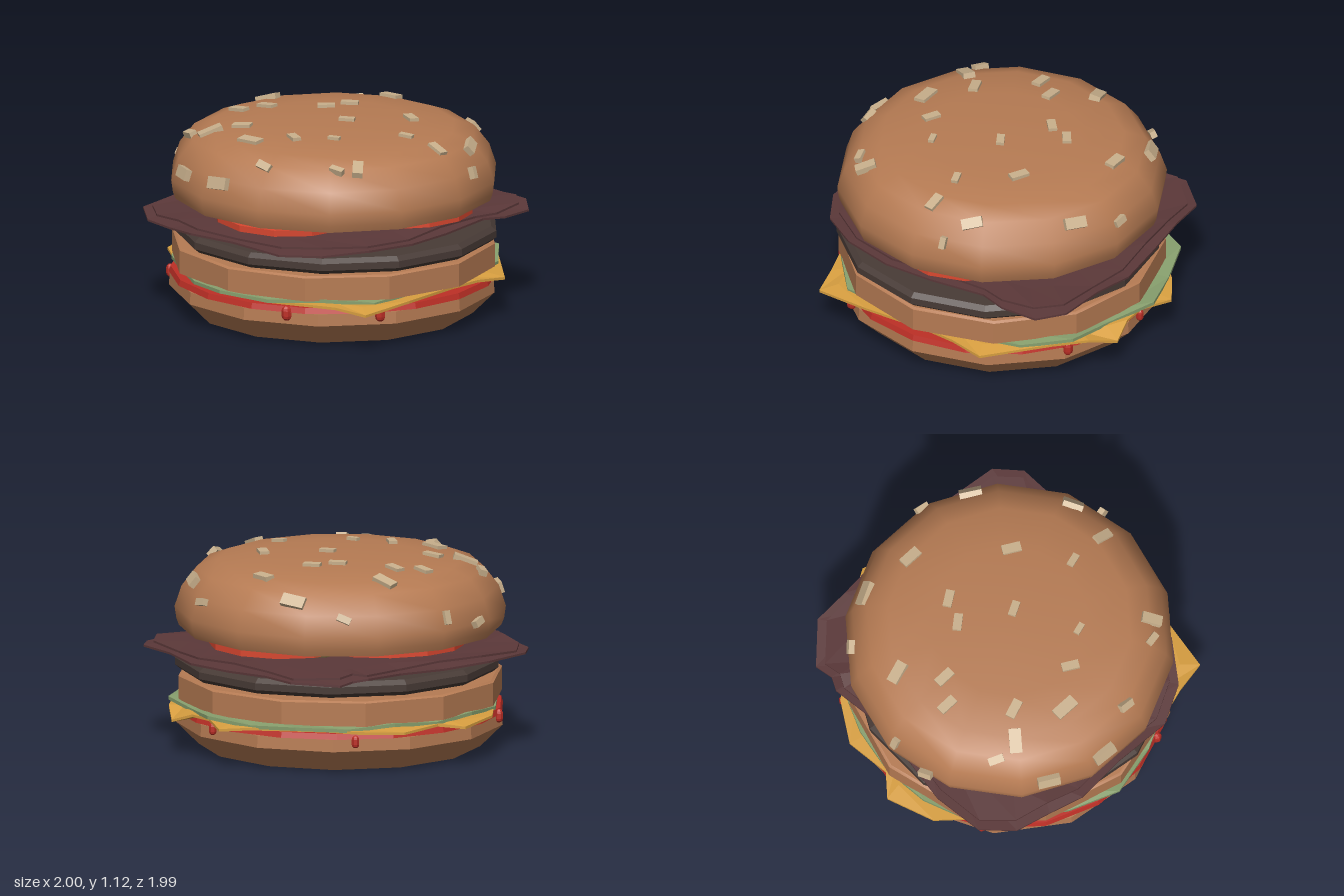
import * as THREE from 'three';
import { toCreasedNormals } from 'three/addons/utils/BufferGeometryUtils.js';

const CX = -0.035, CZ = 0.04; // axis of the buns

function material(name, color, flatShading = true) {
  const m = new THREE.MeshStandardMaterial({ color, flatShading });
  m.name = name;
  return m;
}

function add(parent, name, geometry, mat, x = 0, y = 0, z = 0) {
  const mesh = new THREE.Mesh(geometry, mat);
  mesh.name = name;
  mesh.position.set(x, y, z);
  parent.add(mesh);
  return mesh;
}

const lathe = (profile, sides) =>
  new THREE.LatheGeometry(profile.map(([r, y]) => new THREE.Vector2(r, y)), sides);

// Thin sheet with an irregular rim; rim points are [x, z, lift], running from +z through +x
function sheet(rim, thickness, fold) {
  const profile = [[0, 0], [fold, 0], [1, 0], [1, thickness], [fold, thickness], [0, thickness]];
  const geometry = lathe(profile, rim.length);
  const pos = geometry.attributes.position;
  for (let i = 0; i < pos.count; i++) {
    const [x, z, lift = 0] = rim[Math.floor(i / profile.length) % rim.length];
    const [f, y] = profile[i % profile.length];
    pos.setXYZ(i, x * f, y + (f === 1 ? lift : 0), z * f);
  }
  return geometry;
}

export function createModel() {
  const burger = new THREE.Group();
  burger.name = 'burger';

  const bread = material('bread', 0xb67b53);
  bread.flatShading = false;
  const seedMat = material('sesame', 0xc9b08c);
  const sauceMat = material('sauce', 0xbd2f26);
  const cheeseMat = material('cheese', 0xd89f40);
  const lettuceMat = material('lettuce', 0x88a06e);
  const pattyMat = material('patty', 0x483b36);
  const leafMat = material('purple leaf', 0x5b3839);
  const pickleMat = material('pickle', 0x55562f);
  const tomatoMat = material('tomato', 0xd9472f);

  // Bottom and middle buns, faceted
  const bottom = lathe([[0, 0.005], [0.81, 0.01], [0.94, 0.14], [0.935, 0.21], [0, 0.21]], 13);
  add(burger, 'bottomBun', toCreasedNormals(bottom, 0.3), bread, CX, 0, CZ);
  const middle = lathe([[0, 0.285], [0.935, 0.285], [0.935, 0.42], [0.92, 0.43], [0, 0.43]], 12);
  add(burger, 'middleBun', toCreasedNormals(middle, 0.3), bread, CX, 0, CZ);

  // Sauce layer with drips over the edge
  add(burger, 'sauce', lathe([[0, 0.2], [0.94, 0.212], [0.93, 0.245], [0, 0.25]], 18), sauceMat, CX, 0, CZ);
  const drips = [[0.74, 0.55, 0.032], [0.9, 0.04, 0.022], [-0.55, 0.82, 0.03],
    [-0.88, 0.4, 0.03], [0.5, -0.76, 0.022], [-0.6, -0.7, 0.025]];
  for (const [x, z, r] of drips) {
    add(burger, 'sauceDrip', new THREE.CapsuleGeometry(r, 0.03, 3, 7), sauceMat, x, 0.205, z);
  }

  // Cheese with drooping corners
  const cheeseRim = [[0, 0.9], [0.2, 0.92], [0.4, 0.95, -0.02], [0.7, 0.65], [0.85, 0.5], [0.95, 0.35, -0.05],
    [0.92, 0.2], [0.92, 0.05], [1, -0.14, -0.02], [0.9, -0.3], [0.6, -0.62], [0.5, -0.78], [0.27, -0.92, -0.01],
    [0, -0.89], [-0.12, -0.99, -0.015], [-0.4, -0.89], [-0.65, -0.6], [-0.92, -0.1], [-0.9, 0.3],
    [-0.78, 0.68], [-0.74, 0.87, -0.02], [-0.4, 0.91]];
  add(burger, 'cheese', sheet(cheeseRim, 0.015, 0.9), cheeseMat, 0, 0.25, 0);

  // Ruffled lettuce
  const lettuceRadii = [0.9, 0.9, 0.95, 0.98, 0.9, 0.97, 0.93, 0.97, 0.9, 0.88,
    0.88, 0.9, 0.92, 0.9, 0.93, 1, 0.97, 0.97, 1, 0.9];
  const lettuceRim = lettuceRadii.map((r, i) => {
    const a = (i / lettuceRadii.length) * Math.PI * 2;
    return [r * Math.sin(a), r * Math.cos(a), i % 2 ? 0.008 : -0.012];
  });
  add(burger, 'lettuce', sheet(lettuceRim, 0.02, 0.88), lettuceMat, 0, 0.267, 0);

  // Patty with bevelled edges
  const patty = lathe([[0, 0.445], [0.9, 0.445], [0.93, 0.47], [0.93, 0.51], [0.9, 0.535], [0, 0.535]], 13);
  add(burger, 'patty', patty, pattyMat, CX, 0, 0.065);

  // Two layers of purple leaf
  const leafRim = [[0, 0.85], [0.35, 0.83], [0.5, 0.87], [0.72, 0.86], [0.85, 0.73], [0.88, 0.45], [0.93, 0.2],
    [0.9, -0.1], [0.87, -0.4], [0.86, -0.62], [0.66, -0.82], [0.55, -0.8], [0.47, -0.84], [0.2, -0.8],
    [-0.1, -0.82], [-0.4, -0.86], [-0.7, -0.82], [-0.85, -0.66], [-0.9, -0.45], [-0.96, -0.25],
    [-0.94, 0.05], [-0.95, 0.4], [-0.83, 0.62], [-0.6, 0.78], [-0.3, 0.85]];
  const layer = (scale, phase) => sheet(
    leafRim.map(([x, z], i) => [x * scale, z * scale, 0.01 * Math.sin(i * 1.7 + phase)]), 0.012, 0.8);
  add(burger, 'lowerLeaf', layer(1, 0), leafMat, 0, 0.56, 0);
  add(burger, 'upperLeaf', layer(0.95, 2), leafMat, 0, 0.585, 0);

  // Pickle and tomato slices, tipped slightly
  const slices = (name, mat, radius, height, y, places) => {
    const geometry = new THREE.CylinderGeometry(radius, radius, height, 12);
    places.forEach(([x, z], i) => {
      const slice = add(burger, name, geometry, mat, x, y + (i % 2) * 0.006, z);
      slice.rotation.set(0.03 * Math.cos(i * 2), i * 0.3, 0.025 * Math.sin(i * 2 + 1));
    });
  };
  slices('pickle', pickleMat, 0.27, 0.03, 0.618, [[-0.36, 0.1], [0.3, -0.05], [0, 0.33], [-0.05, -0.35]]);
  slices('tomato', tomatoMat, 0.42, 0.036, 0.651, [[-0.46, 0.05], [0.41, 0.02], [0, 0.5], [-0.03, -0.42]]);

  // Rounded top bun
  const dome = [[0.945, 0.8], [0.905, 0.92], [0.82, 1.03], [0.7, 1.075], [0.45, 1.1], [0, 1.11]];
  const top = lathe([[0, 0.69], [0.92, 0.69], [0.935, 0.73], ...dome], 14);
  add(burger, 'topBun', toCreasedNormals(top, 0.75), bread, CX, 0, CZ);

  // Sesame seeds: x, z, turn, length
  const seeds = [[-0.31, -0.87, -1, 0.08], [-0.07, -0.88, 0, 0.08], [-0.58, -0.57, -0.4, 0.09],
    [-0.16, -0.56, 0, 0.11], [0.18, -0.63, 0.25, 0.13], [0.52, -0.68, 0.5, 0.08], [-0.84, -0.4, -0.5, 0.13],
    [-0.58, -0.42, 0.9, 0.14], [-0.44, -0.3, 0.35, 0.11], [-0.03, -0.46, 0, 0.11], [0.68, -0.42, 0.4, 0.14],
    [0.16, -0.18, 0.7, 0.1], [0.3, -0.12, 0.6, 0.1], [0.64, -0.1, 0, 0.12], [-0.94, -0.06, 0, 0.14],
    [-0.63, -0.08, 0, 0.14], [-0.47, 0.11, -0.5, 0.1], [-0.84, 0.2, -0.1, 0.09], [-0.34, 0.3, 0.3, 0.07],
    [0, 0.11, 0.5, 0.09], [0.28, 0.35, -0.5, 0.11], [0.72, 0.44, -0.6, 0.13], [0.86, 0.19, 0, 0.08],
    [-0.01, 0.56, 0.3, 0.08], [-0.65, 0.58, 0.2, 0.08], [-0.56, 0.66, -0.9, 0.12], [-0.01, 0.79, -0.1, 0.11],
    [0.26, 0.81, -0.9, 0.12], [0.14, 0.93, 0.1, 0.07]];
  const up = new THREE.Vector3(0, 1, 0);
  for (const [x, z, turn, length] of seeds) {
    const r = Math.min(Math.hypot(x - CX, z - CZ), 0.94);
    const k = dome.findIndex((p) => p[0] <= r);
    const [[r0, y0], [r1, y1]] = [dome[k - 1], dome[k]];
    const y = y0 + ((r0 - r) / (r0 - r1)) * (y1 - y0);
    const phi = Math.atan2(x - CX, z - CZ);
    const normal = new THREE.Vector3(Math.sin(phi) * (y1 - y0), r0 - r1, Math.cos(phi) * (y1 - y0)).normalize();
    const seed = add(burger, 'sesameSeed', new THREE.BoxGeometry(length * 0.5, 0.035, length), seedMat, x, y, z);
    seed.quaternion.setFromUnitVectors(up, normal);
    seed.rotateY(turn);
  }

  return burger;
}
